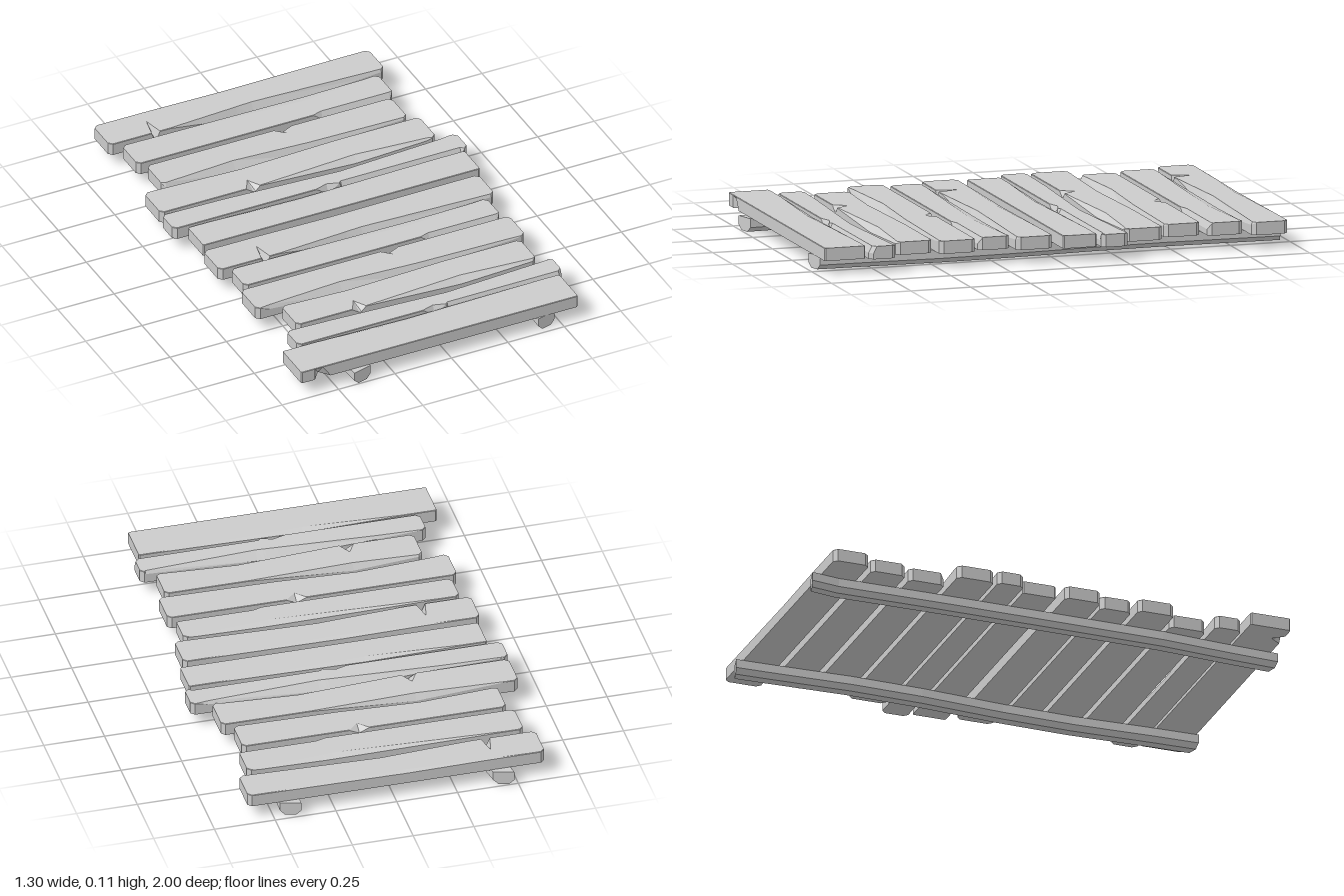
import * as THREE from 'three';

const Y0 = 0.055, Y1 = 0.107; // underside and top of the planks
const material = new THREE.MeshStandardMaterial({ color: 0xcccccc, flatShading: true });

// Skin a list of equal-length cross-sections, closing both ends
function loft(sections, name) {
  const pos = [];
  const tri = (...pts) => pts.forEach((p) => pos.push(...p));
  const n = sections[0].length, last = sections[sections.length - 1];
  for (let i = 0; i < sections.length - 1; i++) {
    for (let j = 0; j < n; j++) {
      const k = (j + 1) % n;
      const a = sections[i][j], b = sections[i][k], c = sections[i + 1][k], d = sections[i + 1][j];
      tri(a, b, c);
      tri(a, c, d);
    }
  }
  for (let j = 1; j < n - 1; j++) {
    tri(sections[0][0], sections[0][j + 1], sections[0][j]);
    tri(last[0], last[j], last[j + 1]);
  }
  const geometry = new THREE.BufferGeometry();
  geometry.setAttribute('position', new THREE.Float32BufferAttribute(pos, 3));
  geometry.computeVertexNormals();
  const mesh = new THREE.Mesh(geometry, material);
  mesh.name = name;
  return mesh;
}

// Piecewise linear lookup in [x, value] pairs, 0 outside
function sample(points, x) {
  for (let i = 0; i < points.length - 1; i++) {
    const [xa, va] = points[i], [xb, vb] = points[i + 1];
    if (x >= xa && x <= xb) return va + ((vb - va) * (x - xa)) / (xb - xa);
  }
  return 0;
}

// Worn edges: [x, how far the top edge is cut back]; drop = depth of the cut
const notch = (x, depth, half = 0.03) => [[x - half, 0], [x, depth], [x + half, 0]];
const wear = [
  { front: [...notch(-0.415, 0.085, 0.018), [-0.35, 0], [0.02, 0.025], [0.59, 0.005]], frontDrop: 0.045,
    back: [[-0.55, 0], [-0.05, 0.02], [0.5, 0]], backDrop: 0.006 },
  { front: [[0.2, 0], [0.24, 0.014], [0.55, 0.014]], frontDrop: 0.04,
    back: [[-0.5, 0], [0.2, 0.035], [0.5, 0.01]], backDrop: 0.008 },
  { front: [[-0.55, 0.008], [-0.23, 0.03], [0.1, 0.012], [0.52, 0.004]], frontDrop: 0.04,
    back: notch(0.05, 0.04, 0.04), backDrop: 0.02 },
  { front: [...notch(-0.24, 0.055), [-0.2, 0], [0.22, 0.03], [0.53, 0.008]], frontDrop: 0.022,
    back: [[-0.6, 0], [-0.23, 0.018], [0.2, 0]], backDrop: 0.03 },
  { front: [...notch(0.03, 0.018, 0.05), [0.09, 0.012], [0.62, 0.014]], frontDrop: 0.04,
    back: [[-0.38, 0.008], [0.12, 0.035], [0.58, 0.008]], backDrop: 0.03 },
  { front: [], frontDrop: 0, back: [[-0.5, 0], [-0.1, 0.025], [0.5, 0]], backDrop: 0.01 },
];

function plank(x0, x1, z0, z1, w, corner, underNotch, name) {
  const xs = new Set([x0, x0 + corner, x1 - corner, x1]);
  [...w.front, ...w.back, ...underNotch].forEach(([x]) => {
    if (x > x0 + corner && x < x1 - corner) xs.add(x);
  });
  const sections = [...xs].sort((a, b) => a - b).map((x) => {
    const trim = x === x0 || x === x1 ? corner : 0;
    const b = z0 + trim, f = z1 - trim;
    const cut = (list, drop) => {
      const v = sample(list, x);
      return [Math.max(v, 0.002), v > 0 ? Math.max(0.002, drop * Math.min(1, v / 0.02)) : 0.002];
    };
    const [bi, bd] = cut(w.back, w.backDrop), [fi, fd] = cut(w.front, w.frontDrop);
    return [
      [x, Y0, b], [x, Y1 - bd, b], [x, Y1, b + bi],
      [x, Y1, f - fi], [x, Y1 - fd, f], [x, Y0, f - sample(underNotch, x)],
    ];
  });
  return loft(sections, name);
}

// Bearer with chamfered lower edges following [z, x] points, its ends cut askew
function bearer(path, name) {
  const w = 0.041, c = 0.02;
  const profile = [[-w + c, 0], [w - c, 0], [w, c], [w, Y0 + 0.001], [-w, Y0 + 0.001], [-w, c]];
  const sections = path.map(([z, x], i) => {
    const end = i === 0 || i === path.length - 1;
    return profile.map(([px, py]) => [x + px, py, z + (end ? -Math.sign(z) * 0.011 * (px / w + 1) : 0)]);
  });
  return loft(sections, name);
}

export function createModel() {
  const group = new THREE.Group();
  group.name = 'plankWalkway';

  // Planks back to front: x from, x to, z from, z to
  const planks = [
    [-0.62, 0.6, -0.96, -0.81], [-0.58, 0.555, -0.785, -0.64], [-0.555, 0.53, -0.615, -0.465],
    [-0.65, 0.57, -0.445, -0.29], [-0.655, 0.65, -0.275, -0.165], [-0.6, 0.625, -0.15, -0.01],
    [-0.62, 0.6, 0.025, 0.175], [-0.58, 0.555, 0.19, 0.32], [-0.61, 0.58, 0.34, 0.49],
    [-0.515, 0.545, 0.51, 0.66], [-0.575, 0.6, 0.68, 0.79], [-0.65, 0.575, 0.8, 0.97],
  ];
  planks.forEach((p, i) => {
    const corner = i % 6 === 5 ? 0.005 : 0.016;
    const under = i === 11 ? notch(-0.555, 0.045, 0.035) : [];
    group.add(plank(...p, wear[i % 6], corner, under, `plank${i + 1}`));
  });

  // The two crooked bearers beneath
  group.add(bearer([[-1, -0.443], [-0.88, -0.425], [-0.45, -0.428], [0.1, -0.424], [0.5, -0.42], [0.8, -0.398], [1, -0.388]], 'rightBearer'));
  group.add(bearer([[-0.99, 0.431], [-0.85, 0.428], [-0.5, 0.416], [-0.2, 0.422], [0.15, 0.446], [0.45, 0.453], [0.8, 0.44], [0.98, 0.437]], 'leftBearer'));
  return group;
}
